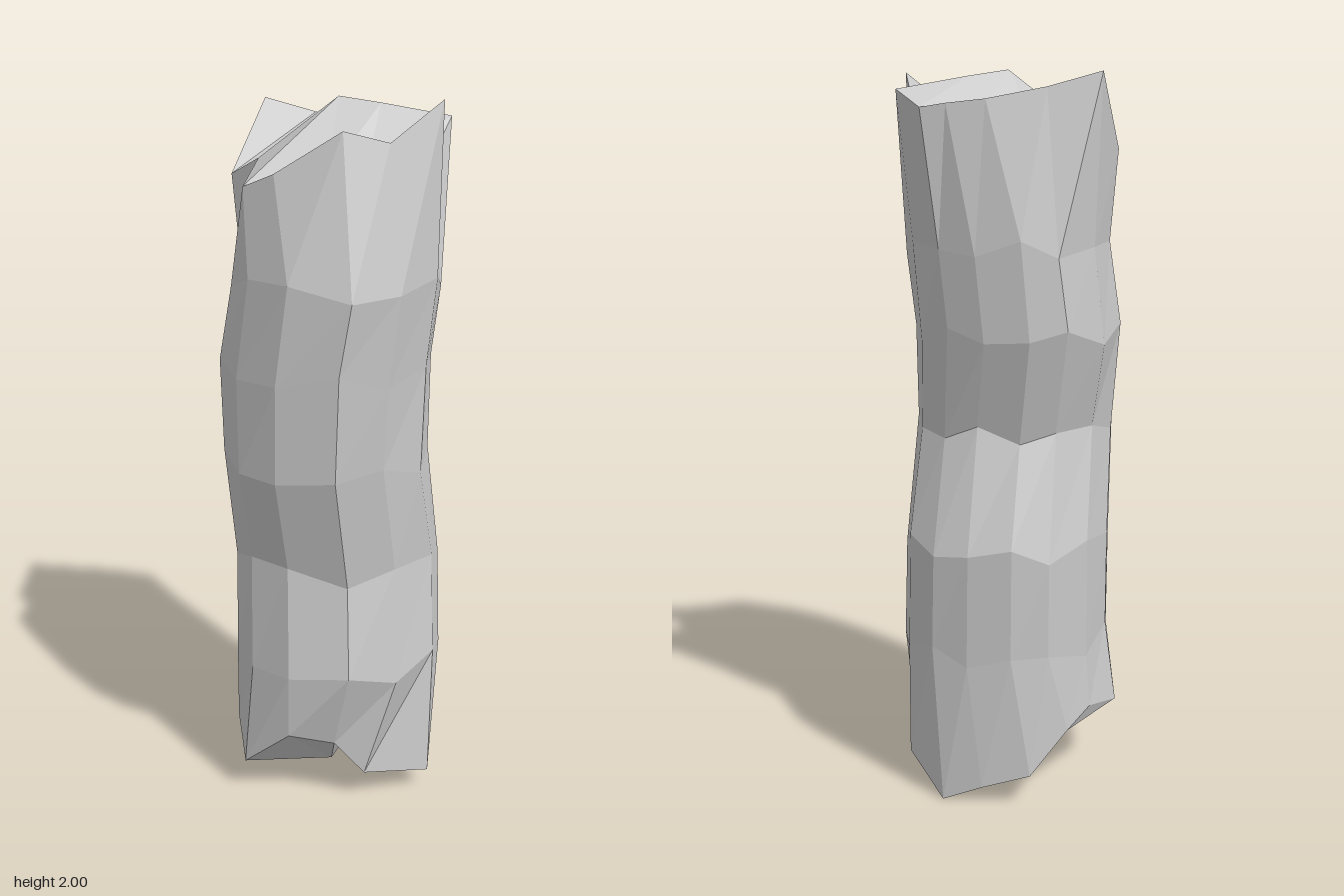
import * as THREE from 'three';

// Splintered ends: rows run front to back, columns right (-x) to left (+x)
const TOP = [
  [[-0.21, 1.82, 0.15], [-0.05, 1.93, 0.24], [0.07, 1.9, 0.25], [0.23, 2.0, 0.185]],
  [[-0.275, 1.78, 0.06], [-0.05, 1.8, 0.06], [0.06, 1.82, 0.05], [0.23, 1.82, 0.05]],
  [[-0.21, 1.84, -0.06], [0, 2.0, -0.015], [0.12, 1.98, -0.03], [0.33, 1.94, -0.06]],
  [[-0.27, 1.79, -0.15], [-0.03, 1.87, -0.135], [0.13, 1.87, -0.15], [0.3, 1.89, -0.17]],
  [[-0.14, 1.98, -0.33], [0, 1.94, -0.295], [0.15, 1.91, -0.25], [0.24, 1.9, -0.2]],
];
const BOTTOM = [
  [[-0.2, 0.23, 0.2], [-0.07, 0.2, 0.22], [0.02, 0.09, 0.22], [0.22, 0.06, 0.2]],
  [[-0.31, 0.1, 0.09], [-0.05, 0.08, 0.1], [0.06, 0.2, 0.06], [0.24, 0.2, 0.07]],
  [[-0.305, 0.18, -0.05], [0, 0.22, -0.05], [0.1, 0.18, -0.05], [0.315, 0.1, -0.06]],
  [[-0.28, 0.21, -0.16], [0, 0.2, -0.2], [0.12, 0.12, -0.2], [0.26, 0, -0.19]],
  [[-0.15, 0.25, -0.27], [-0.07, 0.2, -0.3], [0.05, 0.09, -0.32], [0.17, 0.05, -0.26]],
];

// Outline of the trunk between the ends (x, z), counterclockwise from above
const GIRTH = [
  [-0.21, 0.225], [-0.06, 0.3], [0.08, 0.27], [0.21, 0.18], [0.26, 0.07], [0.28, -0.04], [0.25, -0.16],
  [0.18, -0.24], [0.08, -0.305], [-0.02, -0.32], [-0.15, -0.265], [-0.26, -0.14], [-0.31, -0.03], [-0.29, 0.11],
];

// Extent along the trunk: height, min x, max x, min z, max z
const LEVELS = [
  [0.42, -0.305, 0.31, -0.32, 0.29],
  [0.72, -0.295, 0.31, -0.335, 0.25],
  [1.03, -0.335, 0.25, -0.255, 0.31],
  [1.3, -0.335, 0.26, -0.345, 0.335],
  [1.53, -0.3, 0.28, -0.345, 0.355],
];

// Rim of an end, in the same order as the girth
function rim(g) {
  return [...g[0], g[1][3], g[2][3], g[3][3], ...[...g[4]].reverse(), g[3][0], g[2][0], g[1][0]];
}

// Fit the girth to one level, with slightly uneven heights
function ringAt([y, x0, x1, z0, z1], level) {
  const fit = (k, a, b) => {
    const v = GIRTH.map((p) => p[k]);
    return (q) => THREE.MathUtils.mapLinear(q, Math.min(...v), Math.max(...v), a, b);
  };
  const fx = fit(0, x0, x1), fz = fit(1, z0, z1);
  return GIRTH.map(([x, z], i) => [fx(x), y + 0.025 * Math.sin(i * 2.4 + level * 1.9), fz(z)]);
}

// Skin a grid of points with flat-shaded quads
function skin(rows, name, { closed = false, flip = false } = {}) {
  const n = rows[0].length;
  const index = [];
  for (let r = 0; r < rows.length - 1; r++) {
    for (let c = 0; c < (closed ? n : n - 1); c++) {
      const d = (c + 1) % n;
      const [a, b, e, f] = [r * n + c, r * n + d, (r + 1) * n + d, (r + 1) * n + c];
      index.push(...(flip ? [a, e, b, a, f, e] : [a, b, e, a, e, f]));
    }
  }
  const geometry = new THREE.BufferGeometry();
  geometry.setAttribute('position', new THREE.Float32BufferAttribute(rows.flat(2), 3));
  geometry.setIndex(index);
  const flat = geometry.toNonIndexed();
  flat.computeVertexNormals();
  const mesh = new THREE.Mesh(flat, new THREE.MeshStandardMaterial({
    color: 0xcccccc, flatShading: true, side: THREE.DoubleSide,
  }));
  mesh.name = name;
  return mesh;
}

export function createModel() {
  const log = new THREE.Group();
  log.name = 'brokenLog';
  const rings = [rim(BOTTOM), ...LEVELS.map(ringAt), rim(TOP)];
  log.add(
    skin(rings, 'bark', { closed: true }),
    skin(TOP, 'splinteredTop'),
    skin(BOTTOM, 'splinteredBottom', { flip: true }),
  );
  return log;
}
